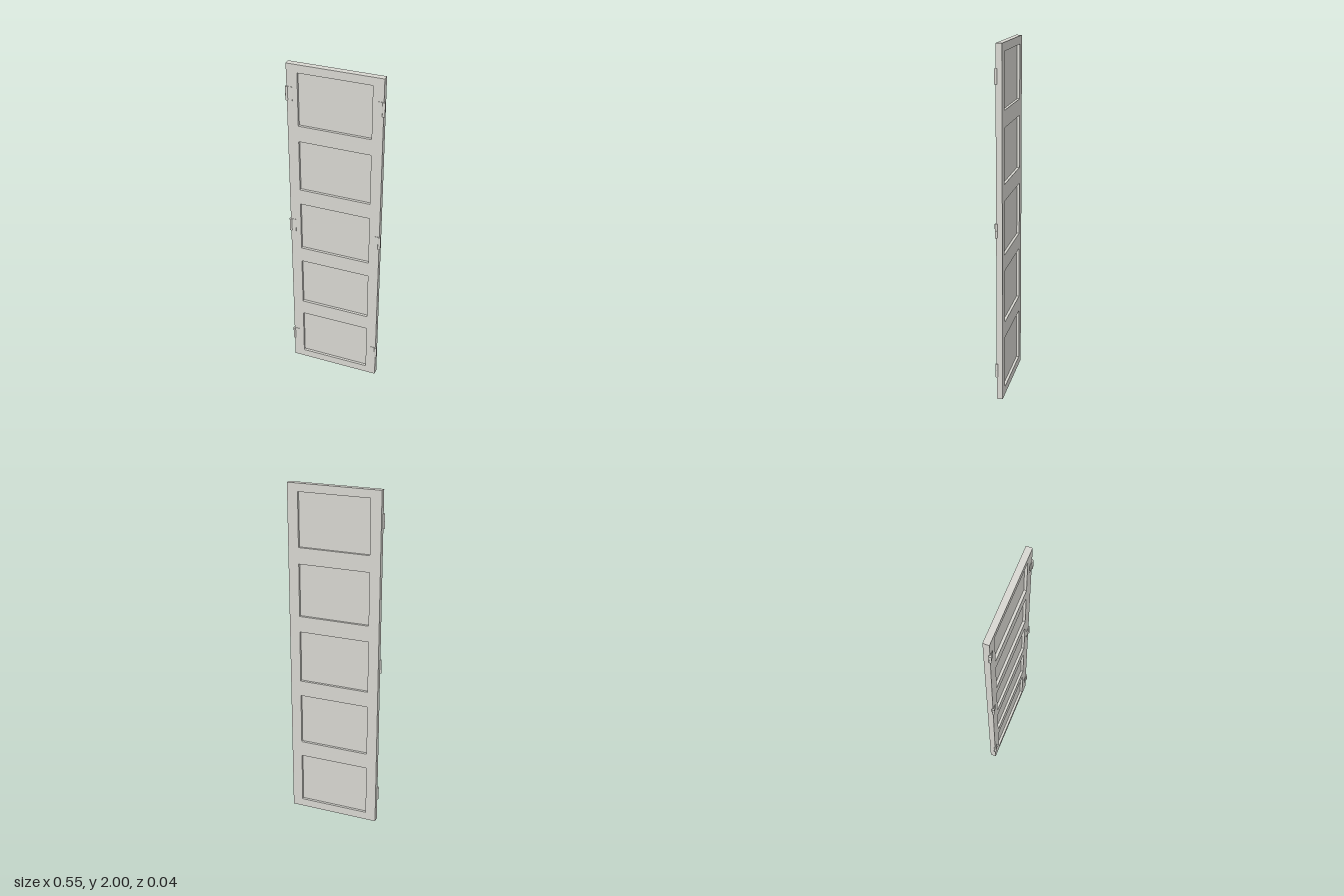
import * as THREE from 'three';

const LEFT = -0.267, RIGHT = 0.2655, HEIGHT = 2;
const BACK = -0.0215, FRONT = 0.0125;
const PANEL_X0 = -0.206, PANEL_X1 = 0.205, PANEL_H = 0.306;
const PANEL_BOTTOMS = [0.048, 0.448, 0.848, 1.248, 1.648];
const HINGE_HEIGHTS = [0.178, 1.003, 1.832], HINGE_H = 0.08;

const paint = new THREE.MeshStandardMaterial({ color: 0xdad9d3 });
paint.name = 'paleGreyPaint';

function rectangle(path, x0, y0, x1, y1) {
  path.moveTo(x0, y0);
  path.lineTo(x1, y0);
  path.lineTo(x1, y1);
  path.lineTo(x0, y1);
  path.closePath();
  return path;
}

function part(name, geometry, x = 0, y = 0, z = 0) {
  const mesh = new THREE.Mesh(geometry, paint);
  mesh.name = name;
  mesh.position.set(x, y, z);
  return mesh;
}

// Two-part round knuckle and a thin leaf on the door face; inward is the leaf's direction along x
function createHinge(inward) {
  const hinge = new THREE.Group();
  hinge.name = inward < 0 ? 'leftHinge' : 'rightHinge';
  const half = HINGE_H / 2 - 0.0005;
  const barrel = new THREE.CylinderGeometry(0.0075, 0.0075, half, 20);
  for (const s of [-1, 1]) hinge.add(part('hingeKnuckle', barrel, 0, s * HINGE_H / 4, 0));

  const profile = new THREE.Shape([
    new THREE.Vector2(0, 0), new THREE.Vector2(inward * 0.031, 0),
    new THREE.Vector2(inward * 0.031, -0.0016), new THREE.Vector2(0, -0.0032),
  ]);
  const leaf = new THREE.ExtrudeGeometry(profile, { depth: HINGE_H, bevelEnabled: false });
  leaf.translate(0, 0, -HINGE_H / 2).rotateX(-Math.PI / 2);
  // The turn sends the profile's -y to +z, in front of the door face
  hinge.add(part('hingeLeaf', leaf));
  return hinge;
}

export function createModel() {
  const door = new THREE.Group();
  door.name = 'panelDoor';

  // Stiles and rails with five openings
  const outline = rectangle(new THREE.Shape(), LEFT, 0, RIGHT, HEIGHT);
  for (const y of PANEL_BOTTOMS) {
    outline.holes.push(rectangle(new THREE.Path(), PANEL_X0, y, PANEL_X1, y + PANEL_H));
  }
  const frame = new THREE.ExtrudeGeometry(outline, { depth: FRONT - BACK, bevelEnabled: false });
  door.add(part('doorFrame', frame, 0, 0, BACK));

  // Thin panels recessed from both faces
  const panel = new THREE.BoxGeometry(PANEL_X1 - PANEL_X0, PANEL_H, 0.004);
  for (const y of PANEL_BOTTOMS) {
    door.add(part('recessedPanel', panel, (PANEL_X0 + PANEL_X1) / 2, y + PANEL_H / 2, (FRONT + BACK) / 2));
  }

  // Three hinges along each front edge
  for (const y of HINGE_HEIGHTS) {
    for (const [x, inward] of [[LEFT, 1], [RIGHT, -1]]) {
      const hinge = createHinge(inward);
      hinge.position.set(x, y, FRONT);
      door.add(hinge);
    }
  }
  return door;
}
